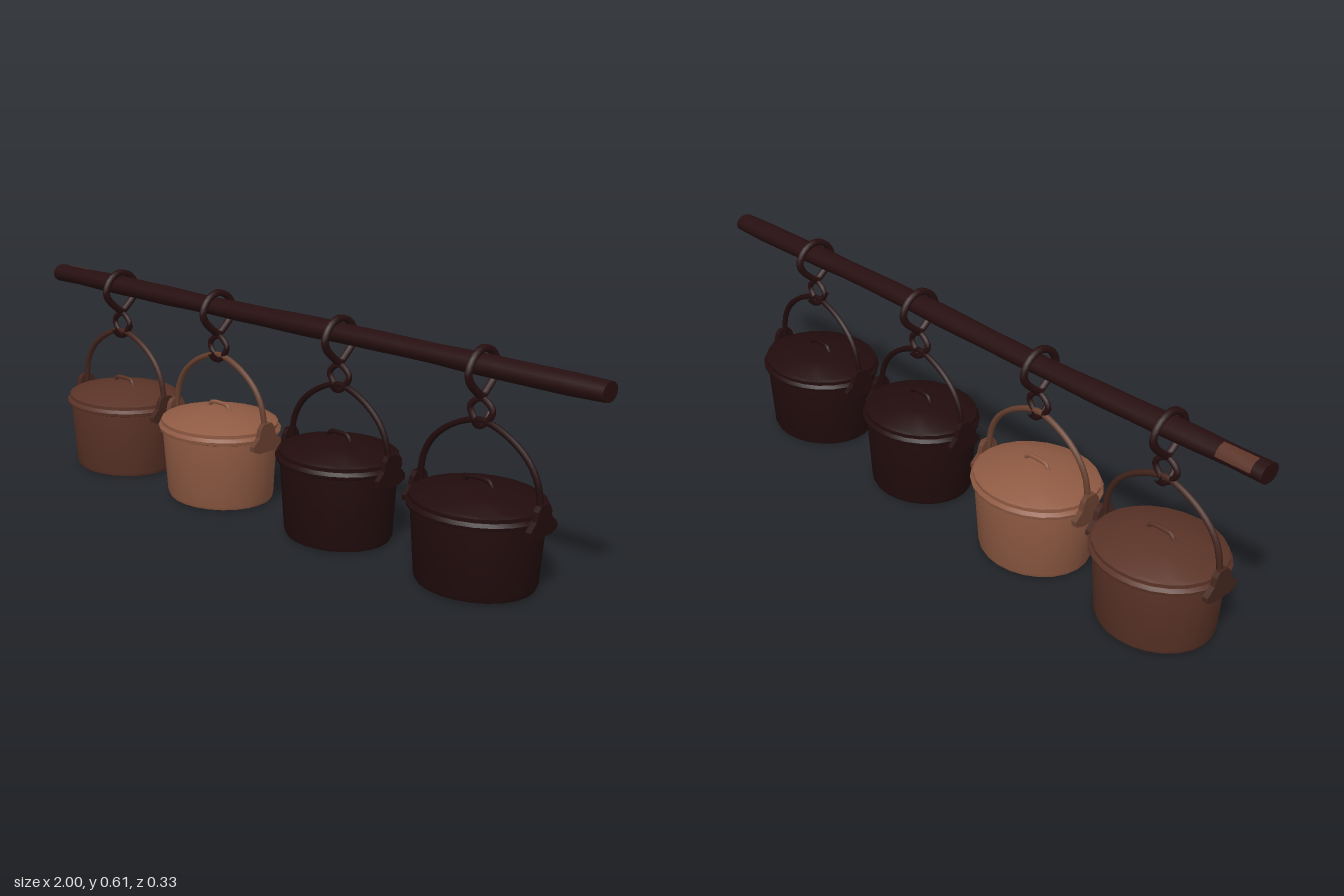
import * as THREE from 'three';
import { toCreasedNormals } from 'three/addons/utils/BufferGeometryUtils.js';

const mat = (name, color) => {
  const m = new THREE.MeshStandardMaterial({ color });
  m.name = name;
  return m;
};
const V = (x, y, z) => new THREE.Vector3(x, y, z);

export function createModel() {
  const root = new THREE.Group();
  root.name = 'hangingPots';
  const soot = mat('sootIron', 0x270f10);
  const blackIron = mat('blackIron', 0x220c0d);
  const brown = mat('brownIron', 0x5a3327);
  const darkBrown = mat('darkBrownIron', 0x43251d);
  const copper = mat('copper', 0x8f5a43);
  const dullCopper = mat('dullCopper', 0x67402f);

  const add = (parent, name, geo, material) => {
    const mesh = new THREE.Mesh(geo, material);
    mesh.name = name;
    parent.add(mesh);
    return mesh;
  };
  const tube = (points, radius, segments, closed = false, tension = 0.5) =>
    new THREE.TubeGeometry(new THREE.CatmullRomCurve3(points, closed, 'catmullrom', tension), segments, radius, 6, closed);
  const lathe = (profile) =>
    toCreasedNormals(new THREE.LatheGeometry(profile.map(([r, y]) => new THREE.Vector2(r, y)), 24), 0.6);

  // Slightly uneven wooden bar, also used for its worn patch
  const barPiece = (x0, x1, grow, segs, open, start, sweep, sides) => {
    const g = new THREE.CylinderGeometry(1, 1, x1 - x0, sides, segs, open, start, sweep);
    g.rotateZ(Math.PI / 2).translate((x0 + x1) / 2, 0, 0);
    const p = g.attributes.position;
    for (let i = 0; i < p.count; i++) {
      const x = p.getX(i);
      const r = 1 + 0.05 * Math.sin(x * 9 + 1) + 0.03 * Math.sin(x * 23);
      p.setY(i, 0.565 + p.getY(i) * (0.027 * r + grow) + 0.002 * Math.sin(x * 5));
      p.setZ(i, p.getZ(i) * (0.034 * r + grow) + 0.003 * Math.sin(x * 4));
    }
    g.computeVertexNormals();
    return toCreasedNormals(g, 0.8);
  };
  add(root, 'bar', barPiece(-1, 1, 0, 20, false, 0, Math.PI * 2, 12), soot);
  add(root, 'wornPatch', barPiece(-0.97, -0.87, 0.001, 1, true, Math.PI * 0.5, Math.PI / 2, 3), brown);

  // Teardrop ring around the bar, in the yz plane
  const ringHalf = [[0.59, 0.038], [0.555, 0.058], [0.525, 0.048], [0.492, 0.012]];
  const ringPoints = [
    V(0, 0.605, 0),
    ...ringHalf.map(([y, z]) => V(0, y, z)),
    V(0, 0.484, 0),
    ...ringHalf.slice().reverse().map(([y, z]) => V(0, y, -z)),
  ];
  const ringGeo = tube(ringPoints, 0.0105, 28, true);

  // Diamond link and the open hook below it
  const linkGeo = tube([V(0, 0.48, 0), V(0.034, 0.455, 0), V(0.02, 0.425, 0), V(0, 0.412, 0),
    V(-0.02, 0.425, 0), V(-0.034, 0.455, 0)], 0.0085, 20, true);
  const hookGeo = tube([V(0, 0.436, 0.033), V(0, 0.416, 0.018), V(0, 0.409, 0),
    V(0, 0.416, -0.018), V(0, 0.436, -0.033)], 0.0085, 10);

  // Bail arching from lug to lug
  const bailHalf = [[0.186, 0.215], [0.182, 0.26], [0.172, 0.305], [0.145, 0.35], [0.1, 0.388], [0.045, 0.415]];
  const bailGeo = tube([
    ...bailHalf.map(([x, y]) => V(-x, y, 0)), V(0, 0.424, 0),
    ...bailHalf.slice().reverse().map(([x, y]) => V(x, y, 0)),
  ], 0.0085, 30);

  // Ear-shaped lug plate standing on the rim
  const half = [[0.016, 0.258], [0.026, 0.245], [0.032, 0.222], [0.056, 0.2], [0.056, 0.186], [0.032, 0.176]];
  const lugShape = new THREE.Shape([
    ...half.map(([z, y]) => new THREE.Vector2(-z, y)),
    ...half.slice().reverse().map(([z, y]) => new THREE.Vector2(z, y)),
  ]);
  const lugGeo = new THREE.ExtrudeGeometry(lugShape, { depth: 0.016, bevelEnabled: false });
  lugGeo.rotateY(Math.PI / 2).translate(0.182, 0, 0);

  const bodyGeo = lathe([[0, 0], [0.148, 0], [0.16, 0.004], [0.165, 0.015], [0.178, 0.2], [0.178, 0.21]]);
  const rimGeo = lathe([[0.172, 0.198], [0.188, 0.204], [0.19, 0.213], [0.182, 0.222], [0.17, 0.224]]);
  const lidGeo = lathe([[0.17, 0.216], [0.181, 0.222], [0.181, 0.232], [0.17, 0.238], [0.09, 0.259], [0.03, 0.267], [0, 0.268]]);
  const gripGeo = tube([V(-0.046, 0.255, 0), V(-0.036, 0.274, 0), V(-0.022, 0.28, 0),
    V(0.022, 0.28, 0), V(0.036, 0.274, 0), V(0.046, 0.255, 0)], 0.006, 16);

  const pots = [
    { x: -0.712, size: 1, height: 0.98, main: brown, trim: darkBrown },
    { x: -0.283, size: 1, height: 1, main: copper, trim: dullCopper },
    { x: 0.183, size: 0.95, height: 1.04, main: blackIron, trim: blackIron },
    { x: 0.648, size: 1, height: 0.98, main: blackIron, trim: blackIron },
  ];
  pots.forEach(({ x, size, height, main, trim }, i) => {
    const hanger = new THREE.Group();
    hanger.name = 'hanger' + (i + 1);
    hanger.position.x = x;
    root.add(hanger);
    add(hanger, 'ring', ringGeo, soot);
    add(hanger, 'link', linkGeo, soot);
    add(hanger, 'hook', hookGeo, soot);
    add(hanger, 'bail', bailGeo, trim).scale.x = size;

    const pot = new THREE.Group();
    pot.name = 'pot' + (i + 1);
    pot.scale.set(size, height, size);
    hanger.add(pot);
    // Oval body, rim and lid
    [['body', bodyGeo], ['rim', rimGeo], ['lid', lidGeo]].forEach(([name, geo]) => {
      add(pot, name, geo, main).scale.z = 0.88;
    });
    add(pot, 'lidGrip', gripGeo, main);
    add(pot, 'leftLug', lugGeo, trim);
    add(pot, 'rightLug', lugGeo, trim).rotation.y = Math.PI;
  });
  return root;
}
